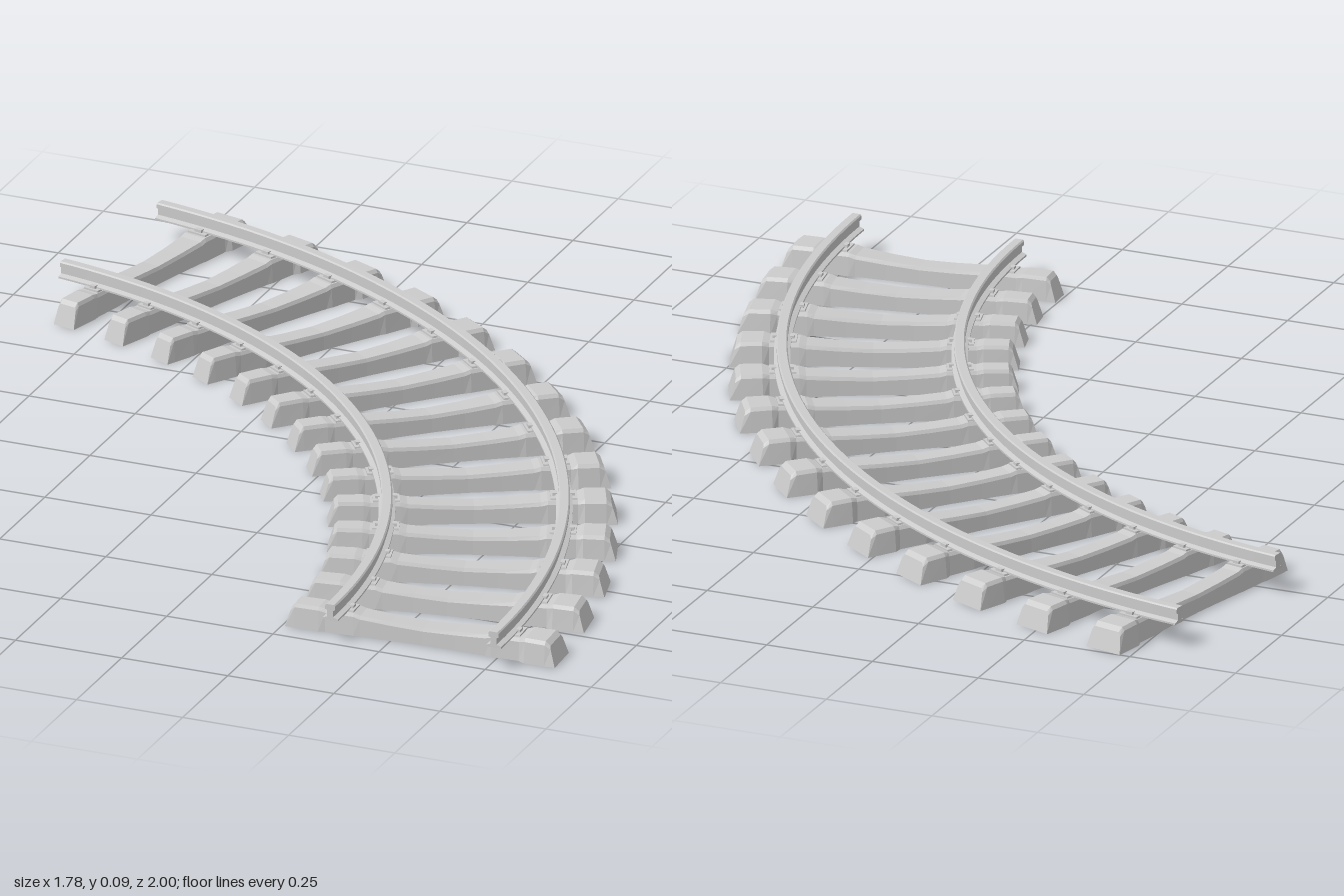
import * as THREE from 'three';
import { toCreasedNormals } from 'three/addons/utils/BufferGeometryUtils.js';

const CX = -1.16, CZ = 1;                 // centre of the curve
const { degToRad, lerp } = THREE.MathUtils;
const SWEEP = degToRad(80);
const FIRST = degToRad(3.1), LAST = degToRad(76.5);
const RAILS = { innerRail: 1.545, outerRail: 1.93 };
const SLEEPERS = 14;

// Point on the curved track: radius, height, angle along the track
const polar = (r, y, a) => [CX + r * Math.cos(a), y, CZ - r * Math.sin(a)];

// Skin rings of points and close both ends; profile is the 2D outline of a ring
function loft(rings, profile) {
  const n = profile.length, last = rings.length - 1, tris = [];
  for (let i = 0; i < last; i++) {
    for (let j = 0; j < n; j++) {
      const k = (j + 1) % n;
      const a = rings[i][j], b = rings[i][k], c = rings[i + 1][k], d = rings[i + 1][j];
      tris.push([a, b, c], [a, c, d]);
    }
  }
  // The end cap follows the outline's direction, the start cap runs against it
  const outline = profile.map(([x, y]) => new THREE.Vector2(x, y));
  const { area } = THREE.ShapeUtils;
  for (const face of THREE.ShapeUtils.triangulateShape(outline, [])) {
    if (area(face.map(i => outline[i])) * area(outline) < 0) face.reverse();
    const [a, b, c] = face;
    tris.push([rings[last][a], rings[last][b], rings[last][c]]);
    tris.push([rings[0][c], rings[0][b], rings[0][a]]);
  }
  // Turn everything outward using the signed volume
  const volume = tris.reduce((sum, [a, b, c]) =>
    sum + new THREE.Vector3(...a).dot(new THREE.Vector3(...b).cross(new THREE.Vector3(...c))), 0);
  if (volume < 0) tris.forEach(t => t.reverse());
  const geo = new THREE.BufferGeometry();
  geo.setAttribute('position', new THREE.Float32BufferAttribute(tris.flat(2), 3));
  geo.computeVertexNormals();
  return geo;
}

// Rail: an I-shaped section swept along the arc
function railGeometry(radius) {
  const half = [[0.018, 0.055], [0.018, 0.059], [0.007, 0.063], [0.007, 0.078],
    [0.012, 0.080], [0.012, 0.089], [0.009, 0.092]];
  const profile = [...half, ...half.map(([x, y]) => [-x, y]).reverse()];
  const steps = 56, rings = [];
  for (let i = 0; i <= steps; i++) {
    rings.push(profile.map(([dr, y]) => polar(radius + dr, y, SWEEP * i / steps)));
  }
  return toCreasedNormals(loft(rings, profile), 0.4);
}

// Sleeper: bevelled section, waisted and sagging in the middle, with leaning ends
function sleeperGeometry(angle) {
  // radius, half angle, top height, top width ratio, lean of the section
  const sections = [
    [1.418, 0.0190, 0.046, 0.72, 0.014], [1.440, 0.0195, 0.055, 0.74, 0],
    [1.495, 0.0195, 0.055, 0.74, 0], [1.510, 0.0175, 0.052, 0.80, 0],
    [1.575, 0.0175, 0.052, 0.80, 0], [1.590, 0.0165, 0.048, 0.85, 0],
    [1.66, 0.0150, 0.043, 0.85, 0], [1.735, 0.0142, 0.040, 0.85, 0],
    [1.81, 0.0150, 0.043, 0.85, 0], [1.880, 0.0165, 0.048, 0.85, 0],
    [1.895, 0.0178, 0.052, 0.80, 0], [1.960, 0.0178, 0.052, 0.80, 0],
    [1.975, 0.0220, 0.056, 0.74, 0], [2.022, 0.0222, 0.055, 0.74, 0],
    [2.047, 0.0220, 0.046, 0.72, -0.014],
  ];
  const ring = (h, top, ratio) => [[-h, 0], [-h * (ratio + 0.13), top - 0.008], [-h * ratio, top],
    [h * ratio, top], [h * (ratio + 0.13), top - 0.008], [h, 0]];
  const rings = sections.map(([r, h, top, ratio, lean]) =>
    ring(h, top, ratio).map(([a, y]) => polar(r + lean * y / top, y, angle + a)));
  return loft(rings, ring(0.02, 0.05, 0.8));
}

// Small block following the curve, used for plates and clips
function blockGeometry(r, angle, halfR, halfA, y0, y1) {
  const profile = [[-halfA, y0], [halfA, y0], [halfA * 0.9, y1], [-halfA * 0.9, y1]];
  return loft([r - halfR, r + halfR].map(q =>
    profile.map(([a, y]) => polar(q, y, angle + a))), profile);
}

export function createModel() {
  const model = new THREE.Group();
  model.name = 'curvedTrack';
  const smooth = new THREE.MeshStandardMaterial({ color: 0xcccccc });
  const flat = new THREE.MeshStandardMaterial({ color: 0xcccccc, flatShading: true });
  const add = (parent, name, geo, mat) => {
    const mesh = new THREE.Mesh(geo, mat);
    mesh.name = name;
    parent.add(mesh);
  };

  for (const [name, r] of Object.entries(RAILS)) add(model, name, railGeometry(r), smooth);

  // Evenly spaced sleepers, each with a plate and two clips under every rail
  for (let i = 0; i < SLEEPERS; i++) {
    const angle = lerp(FIRST, LAST, i / (SLEEPERS - 1));
    const group = new THREE.Group();
    group.name = 'sleeperAssembly';
    add(group, 'sleeper', sleeperGeometry(angle), flat);
    for (const r of Object.values(RAILS)) {
      add(group, 'railPlate', blockGeometry(r, angle, 0.029, 0.0135, 0.045, 0.056), flat);
      for (const side of [-1, 1]) {
        add(group, 'railClip', blockGeometry(r + side * 0.019, angle, 0.005, 0.005, 0.05, 0.062), flat);
      }
    }
    model.add(group);
  }
  return model;
}
